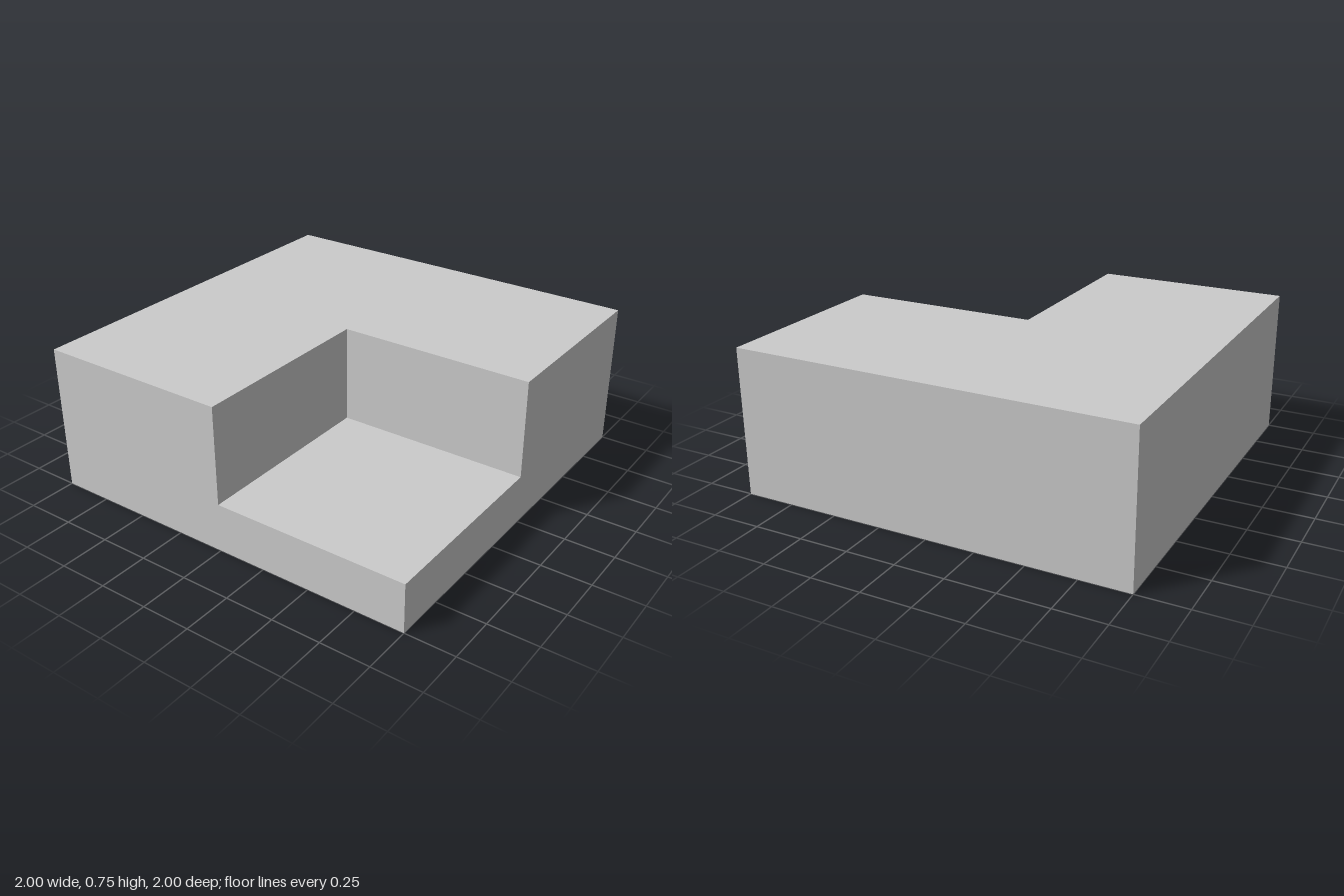
import * as THREE from 'three';

// Block extents, and the inner corner of the notch cut from its front left top
const lo = [-1, 0, -1];
const mid = [0, 0.25, 0];
const hi = [1, 0.75, 1];

// Flat face across axis k at the given level; corners are [u, v] pairs, fanned from the first
function addFace(positions, k, level, corners) {
  const points = corners.map(([u, v]) => {
    const p = [0, 0, 0];
    p[k] = level[k];
    p[(k + 1) % 3] = u[(k + 1) % 3];
    p[(k + 2) % 3] = v[(k + 2) % 3];
    return p;
  });
  for (let i = 1; i < points.length - 1; i++) {
    positions.push(...points[0], ...points[i], ...points[i + 1]);
  }
}

export function createModel() {
  const positions = [];
  for (let k = 0; k < 3; k++) {
    // L-shaped outer face around the notch
    addFace(positions, k, hi, [[mid, mid], [mid, hi], [lo, hi], [lo, lo], [hi, lo], [hi, mid]]);
    // Inner face of the notch
    addFace(positions, k, mid, [[mid, mid], [hi, mid], [hi, hi], [mid, hi]]);
    // Full face on the opposite side
    addFace(positions, k, lo, [[lo, lo], [lo, hi], [hi, hi], [hi, lo]]);
  }

  const geometry = new THREE.BufferGeometry();
  geometry.setAttribute('position', new THREE.Float32BufferAttribute(positions, 3));
  geometry.computeVertexNormals();

  const block = new THREE.Mesh(
    geometry,
    new THREE.MeshStandardMaterial({ color: 0xcccccc, flatShading: true })
  );
  block.name = 'notchedBlock';

  const group = new THREE.Group();
  group.name = 'cornerBlock';
  group.add(block);
  return group;
}
